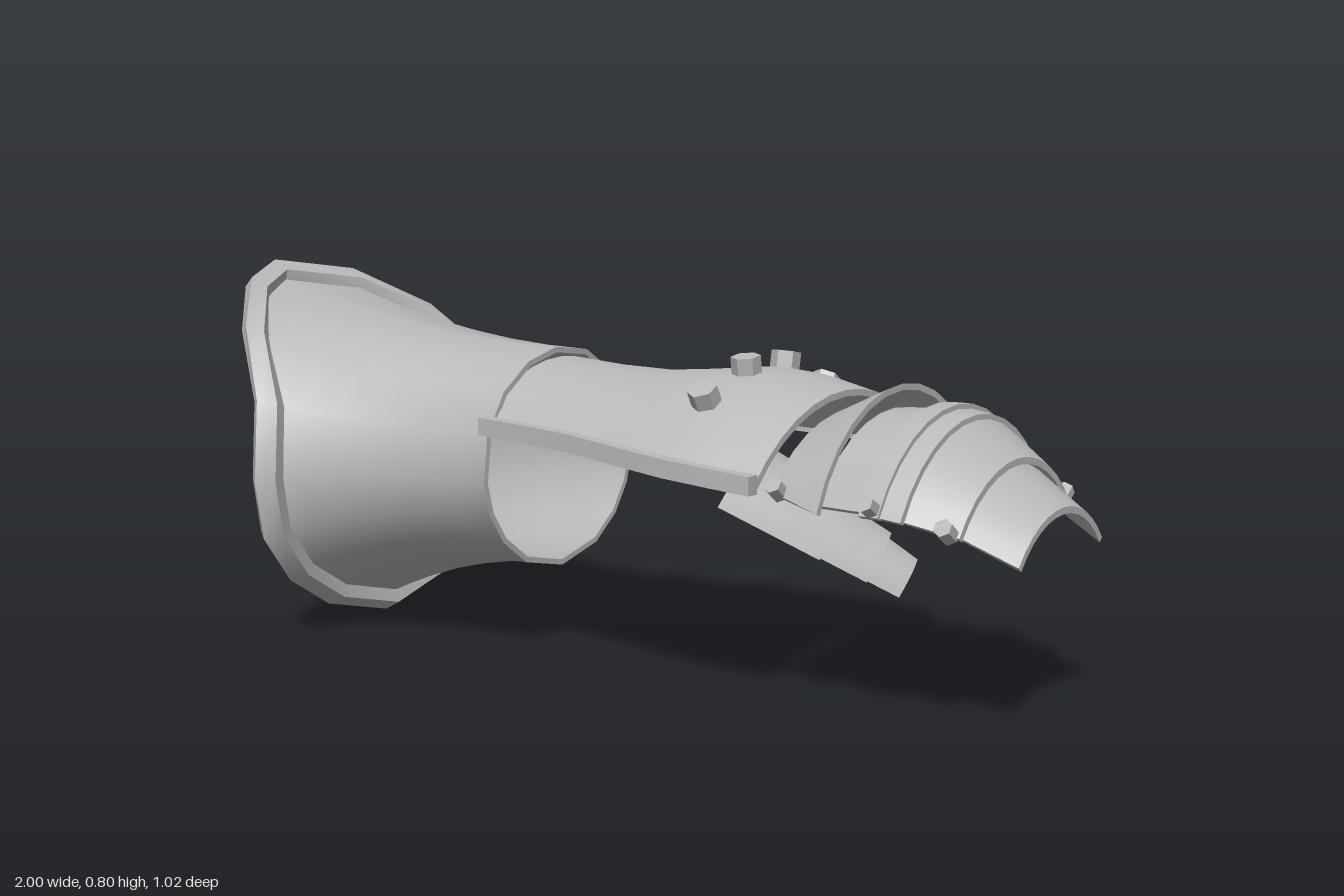
import * as THREE from 'three';
import { toCreasedNormals } from 'three/addons/utils/BufferGeometryUtils.js';

const V = (x, y, z) => new THREE.Vector3(x, y, z);
const steel = new THREE.MeshStandardMaterial({ color: 0xb8b8b8 });
steel.name = 'steel';

// Skin a row of closed rings; either join the last row to the first or cap both ends.
function skin(rows, loop) {
  const pos = [], m = rows[0].length, n = m / 2;
  const tri = (...p) => p.forEach(v => pos.push(v.x, v.y, v.z));
  for (let i = 0; i < rows.length - (loop ? 0 : 1); i++) {
    const A = rows[i], B = rows[(i + 1) % rows.length];
    for (let j = 0; j < m; j++) {
      const k = (j + 1) % m;
      tri(A[j], A[k], B[j]);
      tri(A[k], B[k], B[j]);
    }
  }
  if (!loop) {
    const S = rows[0], E = rows[rows.length - 1];
    for (let k = 0; k < n - 1; k++) {
      const a = m - 1 - k, b = m - 2 - k;
      tri(S[k], S[a], S[k + 1]); tri(S[k + 1], S[a], S[b]);
      tri(E[k], E[k + 1], E[a]); tri(E[k + 1], E[b], E[a]);
    }
  }
  const g = new THREE.BufferGeometry();
  g.setAttribute('position', new THREE.Float32BufferAttribute(pos, 3));
  return toCreasedNormals(g, 0.7);
}

// A station is an arched cross-section: crown point, side and up axes, half width, rise.
const station = (x, zc, w, top, bot) =>
  ({ o: V(x, top, zc), s: V(0, 0, 1), u: V(0, 1, 0), w, h: top - bot });

function arcPoint({ o, s, u, w, h }, f, inset = 0) {
  const R = (w * w + h * h) / (2 * h), a = f * Math.asin(Math.min(1, w / R));
  const normal = s.clone().multiplyScalar(Math.sin(a)).addScaledVector(u, Math.cos(a));
  return { p: o.clone().addScaledVector(u, -R).addScaledVector(normal, R - inset), normal };
}

function plate(stations, thick = 0.013, n = 12) {
  return skin(stations.map(st => {
    const ring = [];
    for (let i = 0; i <= n; i++) ring.push(arcPoint(st, 2 * i / n - 1).p);
    for (let i = n; i >= 0; i--) ring.push(arcPoint(st, 2 * i / n - 1, thick).p);
    return ring;
  }));
}

export function createModel() {
  const model = new THREE.Group();
  const add = (name, geo) => {
    const mesh = new THREE.Mesh(geo, steel);
    mesh.name = name;
    model.add(mesh);
    return mesh;
  };
  const stud = (name, st, f, r, len) => {
    const { p, normal } = arcPoint(st, f);
    const mesh = add(name, toCreasedNormals(new THREE.CylinderGeometry(r, r, len, 6), 0.4));
    mesh.position.copy(p).addScaledVector(normal, len * 0.2);
    mesh.quaternion.setFromUnitVectors(V(0, 1, 0), normal);
  };

  // Flared cuff: rim outline as [z, y, x], pointed over the forearm
  const rim = [
    [0.115, 0.8, -0.97], [0.265, 0.77, -0.88], [0.4, 0.68, -0.75], [0.48, 0.53, -0.63],
    [0.51, 0.36, -0.61], [0.49, 0.235, -0.61], [0.41, 0.13, -0.62], [0.28, 0.05, -0.64],
    [0.09, 0, -0.65], [-0.1, 0.05, -0.66], [-0.21, 0.14, -0.67], [-0.29, 0.24, -0.67],
    [-0.322, 0.36, -0.67], [-0.32, 0.47, -0.67], [-0.3, 0.58, -0.7], [-0.21, 0.685, -0.78],
    [-0.05, 0.775, -0.88],
  ];
  const rimRow = (dx, inset) => rim.map(([z, y, x]) => {
    const c = V(0, 0.4 - y, 0.09 - z).normalize();
    return V(x + dx, y, z).addScaledVector(c, inset);
  });
  const cuffRow = (t, inset) => rimRow(0.01, 0.04 + inset).map((p, i) => {
    const a = Math.atan2(rim[i][0] - 0.09, rim[i][1] - 0.4);
    const k = (1 - t) ** 2;
    const wx = -0.145 + 0.02 * Math.sin(a);
    const wy = 0.405 + (0.238 - inset) * Math.cos(a), wz = 0.055 + (0.272 - inset) * Math.sin(a);
    return V(p.x + (wx - p.x) * t, wy + (p.y - wy) * k, wz + (p.z - wz) * k);
  });
  const steps = [0, 0.12, 0.25, 0.4, 0.55, 0.7, 0.85, 1];
  add('cuff', skin([
    ...steps.map(t => cuffRow(t, 0)),
    ...steps.slice().reverse().map(t => cuffRow(t, 0.012)),
  ], true));
  add('cuffRim', skin([
    rimRow(-0.035, 0.025), rimRow(0, 0), rimRow(0.04, 0.022),
    rimRow(0.03, 0.055), rimRow(-0.025, 0.06),
  ], true));

  // Back-of-hand plate with folded side edges
  const hand = [
    station(-0.15, 0.05, 0.25, 0.62, 0.495), station(-0.02, 0.045, 0.26, 0.61, 0.49),
    station(0.1, 0.04, 0.275, 0.607, 0.485), station(0.22, 0.03, 0.3, 0.617, 0.475),
    station(0.35, 0.02, 0.325, 0.63, 0.465), station(0.44, 0.017, 0.325, 0.622, 0.458),
    station(0.54, 0.015, 0.32, 0.598, 0.45),
  ];
  add('handPlate', plate(hand));
  for (const side of [-1, 1]) {
    add('handPlateEdge', skin(hand.map(st => {
      const e = arcPoint(st, side).p;
      return [[0.022, -0.014], [0.022, 0.014], [-0.014, 0.014], [-0.014, -0.014]]
        .map(([y, z]) => V(e.x, e.y + y, e.z + z));
    })));
  }

  // Knuckle studs
  for (const f of [-0.62, -0.2, 0.16, 0.54]) stud('knuckleStud', hand[4], f, 0.03, 0.045);

  // Overlapping finger plates
  const fingers = [
    [[0.54, 0.01, 0.265, 0.56, 0.435], [0.657, 0.005, 0.3, 0.618, 0.41]],
    [[0.64, 0.005, 0.27, 0.57, 0.42], [0.75, 0.005, 0.277, 0.577, 0.42]],
    [[0.735, 0.005, 0.287, 0.588, 0.415], [0.775, 0.005, 0.287, 0.588, 0.415]],
    [[0.765, 0.005, 0.28, 0.58, 0.415], [0.815, 0.005, 0.277, 0.572, 0.41]],
    [[0.81, 0.005, 0.265, 0.565, 0.41], [0.905, 0.01, 0.222, 0.5, 0.385]],
    [[0.89, 0.01, 0.205, 0.488, 0.385], [0.998, 0.015, 0.172, 0.42, 0.337]],
  ].map(pair => pair.map(a => station(...a)));
  fingers.forEach(pair => add('fingerPlate', plate(pair)));

  // Hinge rivets on both sides
  for (const f of [-0.98, 0.98]) {
    stud('hingeRivet', station(0.557, 0.01, 0.272, 0.565, 0.433), f, 0.018, 0.035);
    stud('hingeRivet', station(0.757, 0.005, 0.287, 0.588, 0.425), f, 0.018, 0.035);
    stud('hingeRivet', station(0.885, 0.01, 0.23, 0.51, 0.388), f, 0.018, 0.035);
  }

  // Thumb plates along a slanted axis
  const start = V(0.085, 0.31, -0.24), end = V(0.415, 0.105, -0.43);
  const side = V(0.47, 0, 0.883).normalize();
  const up = side.clone().cross(end.clone().sub(start)).normalize();
  const thumb = (t, w, h) => ({
    o: start.clone().lerp(end, t).addScaledVector(up, h), s: side, u: up, w, h,
  });
  [
    [[0, 0.182, 0.135], [0.28, 0.166, 0.13], [0.56, 0.15, 0.12]],
    [[0.5, 0.135, 0.108], [0.82, 0.115, 0.098]],
    [[0.77, 0.105, 0.088], [1, 0.09, 0.075]],
  ].forEach(list => add('thumbPlate', plate(list.map(a => thumb(...a)), 0.012, 8)));

  return model;
}
